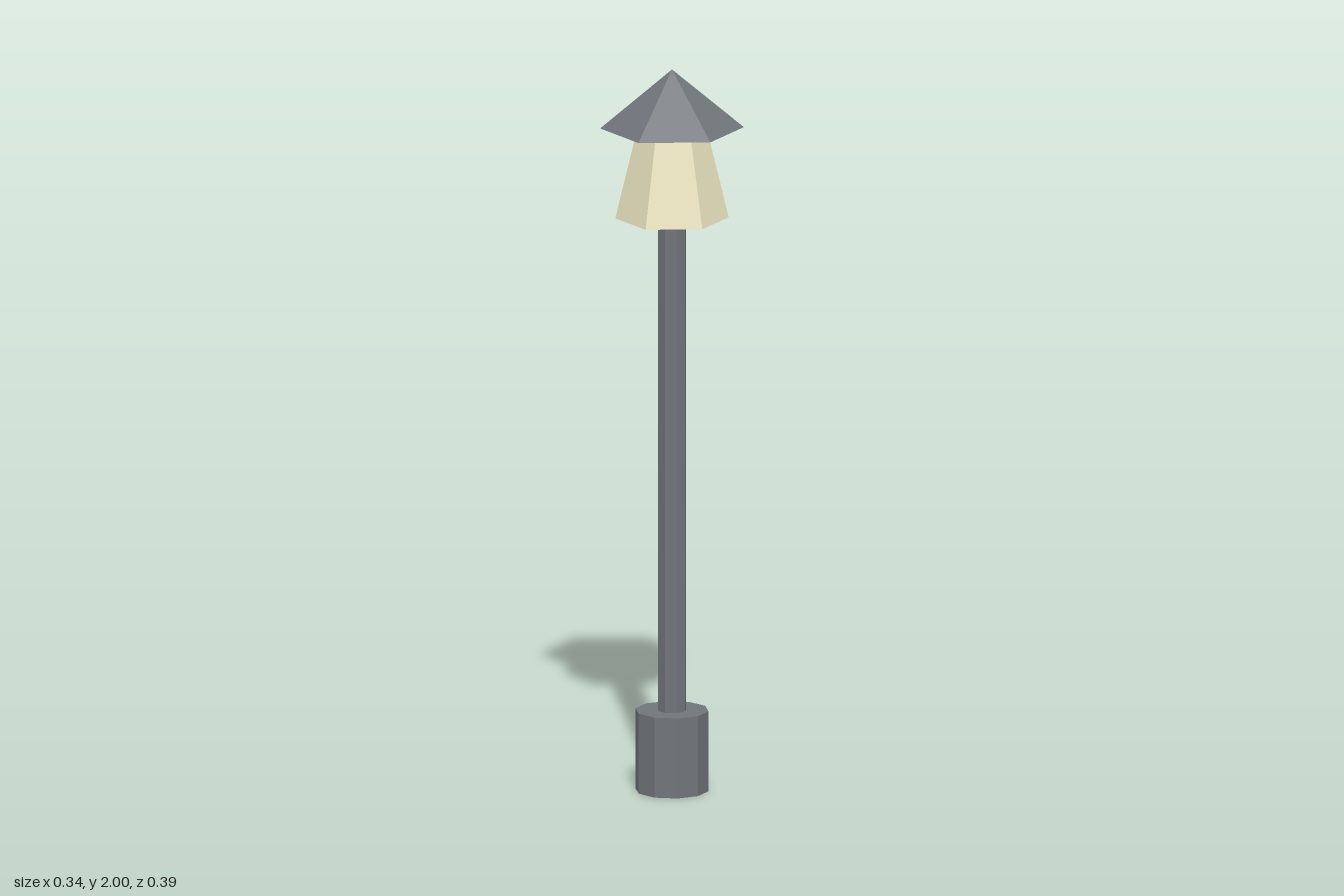
import * as THREE from 'three';

export function createModel() {
  const group = new THREE.Group();
  group.name = 'lampPost';

  const metal = new THREE.MeshStandardMaterial({ color: 0x70757b, flatShading: true });
  const glass = new THREE.MeshStandardMaterial({ color: 0xeae4c0, flatShading: true });

  // Upright faceted prism, cone or frustum between two heights
  function addPrism(name, rTop, rBottom, y0, y1, sides, material) {
    const geometry = new THREE.CylinderGeometry(rTop, rBottom, y1 - y0, sides);
    const mesh = new THREE.Mesh(geometry, material);
    mesh.name = name;
    mesh.position.y = (y0 + y1) / 2;
    group.add(mesh);
  }

  addPrism('base', 0.1, 0.1, 0, 0.222, 10, metal);
  addPrism('pole', 0.04, 0.04, 0.222, 1.588, 8, metal);
  // Lantern tapers towards the roof
  addPrism('lantern', 0.093, 0.153, 1.588, 1.838, 6, glass);
  addPrism('roof', 0, 0.194, 1.838, 2, 6, metal);

  return group;
}
